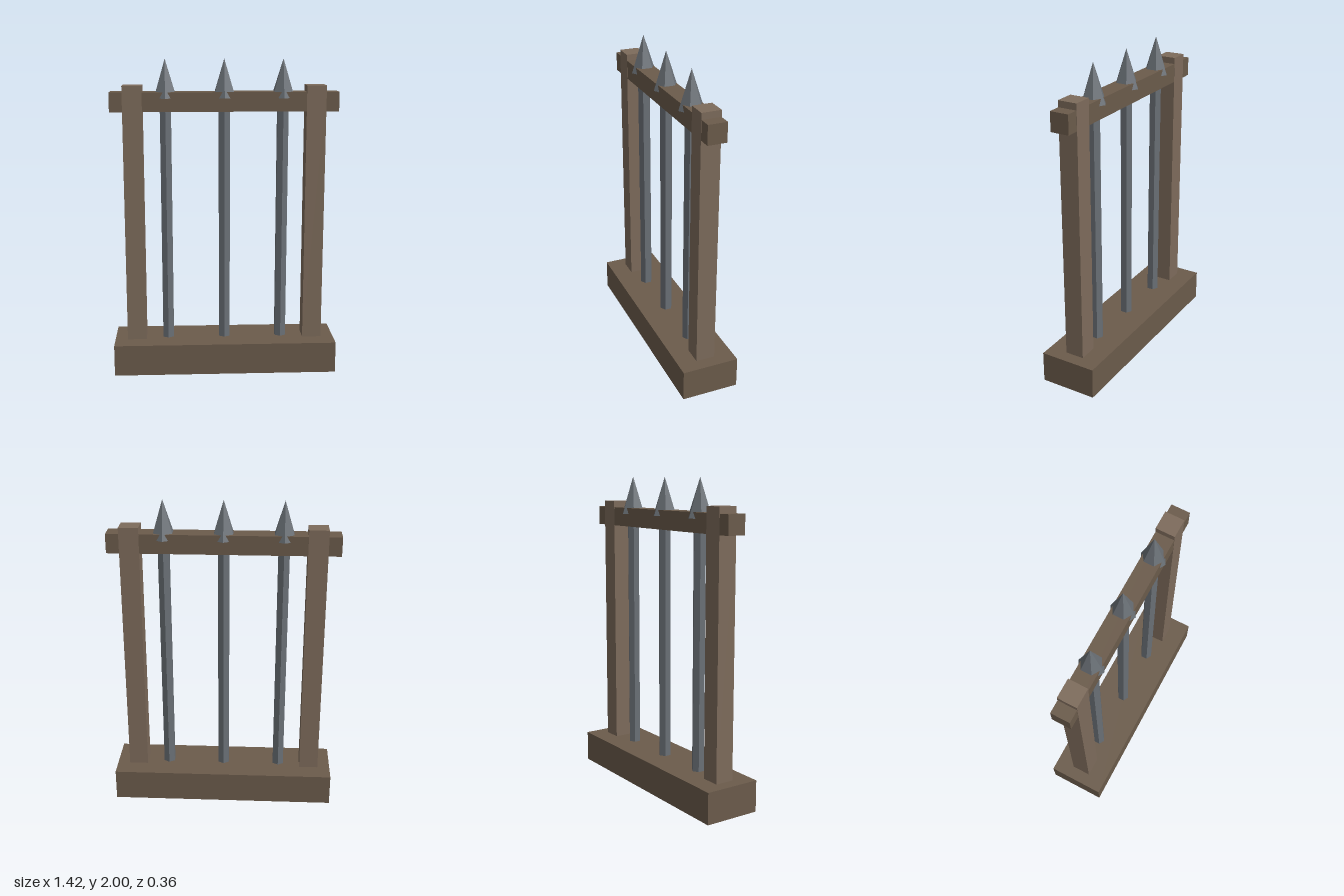
import * as THREE from 'three';

export function createModel() {
  const group = new THREE.Group();
  const material = (color) => new THREE.MeshStandardMaterial({ color, flatShading: true });
  const darkWood = material(0x6b5b4b);
  const lightWood = material(0x7d6b5b);
  const iron = material(0x6a7076);

  const add = (name, geometry, mat, x, y) => {
    const mesh = new THREE.Mesh(geometry, mat);
    mesh.name = name;
    mesh.position.set(x, y, 0);
    group.add(mesh);
  };

  // Wooden frame; the rail is a hair thinner so the posts cover it where they cross
  add('base', new THREE.BoxGeometry(1.424, 0.2, 0.364), darkWood, 0, 0.1);
  add('topRail', new THREE.BoxGeometry(1.424, 0.12, 0.119), darkWood, 0, 1.738);
  for (const side of [-1, 1]) {
    add(side > 0 ? 'leftPost' : 'rightPost', new THREE.BoxGeometry(0.122, 1.64, 0.122), lightWood, side * 0.571, 1.018);
  }

  // Six-sided iron bars with spear tips sunk into the rail
  const names = ['right', 'middle', 'left'];
  names.forEach((name, i) => {
    const x = (i - 1) * 0.367;
    add(name + 'Bar', new THREE.CylinderGeometry(0.04, 0.04, 1.56, 6), iron, x, 0.98);
    add(name + 'SpearTip', new THREE.ConeGeometry(0.08, 0.24, 6), iron, x, 1.88);
  });

  return group;
}
